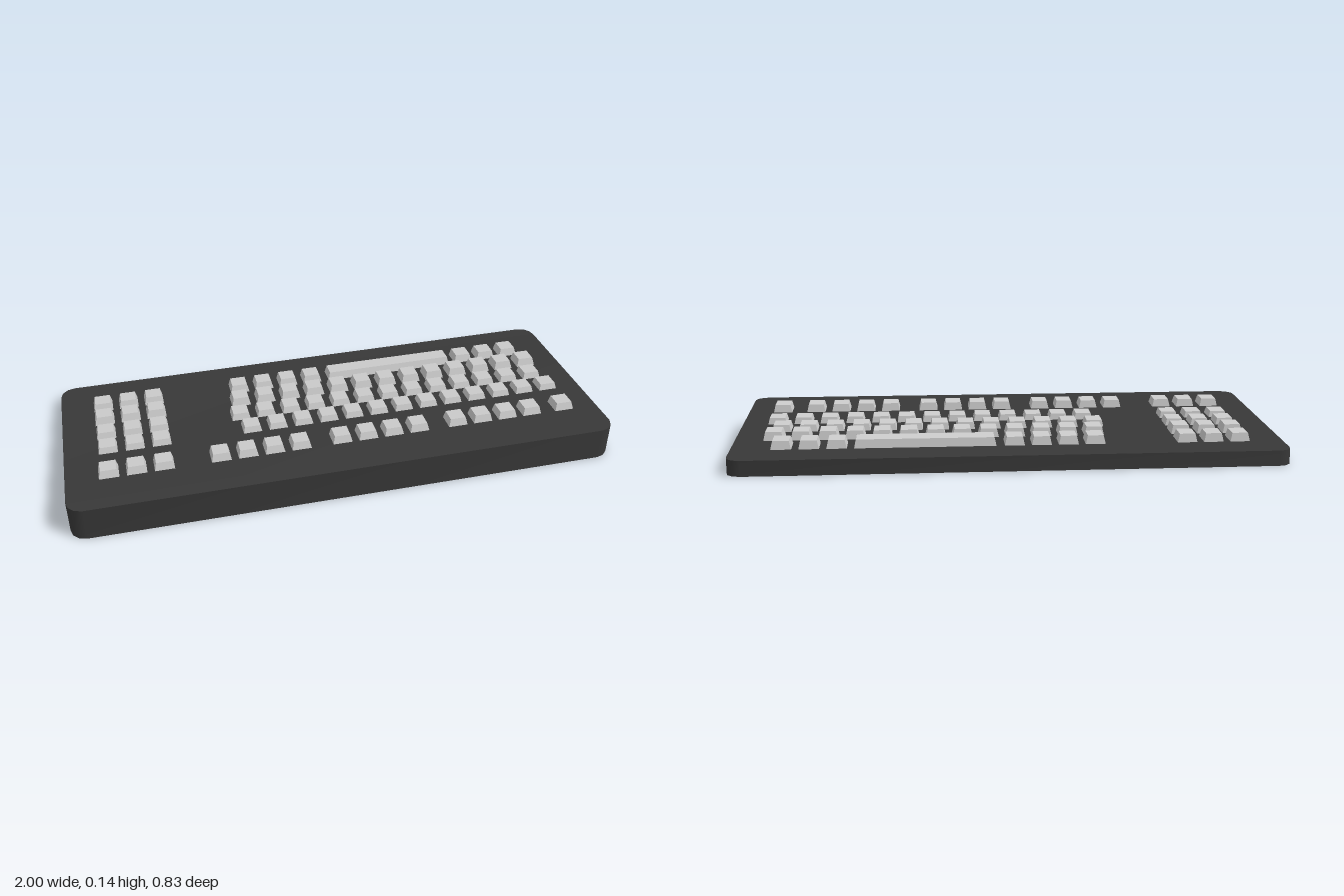
import * as THREE from 'three';
import { toCreasedNormals } from 'three/addons/utils/BufferGeometryUtils.js';

const TILT = -0.098;
const PITCH = 0.098;
const caseMaterial = new THREE.MeshStandardMaterial({ color: 0x383838 });
const keyMaterial = new THREE.MeshStandardMaterial({ color: 0xcccccc });

// Wedge-shaped case: slices along z with rounded corners and a sloping top
function makeCase() {
  const R = 0.055, HALF = 0.413, STEPS = 3;
  const slices = [];
  for (let i = 0; i <= STEPS; i++) {
    const a = (i / STEPS) * Math.PI / 2;
    slices.push({ z: HALF - R + R * Math.cos(a), w: 1 - R + R * Math.sin(a) });
  }
  for (let i = STEPS; i >= 0; i--) slices.push({ z: -slices[i].z, w: slices[i].w });

  const n = slices.length - 1;
  const geometry = new THREE.BoxGeometry(2, 1, 1, 1, 1, n);
  const p = geometry.attributes.position;
  for (let i = 0; i < p.count; i++) {
    const s = slices[Math.round((0.5 - p.getZ(i)) * n)];
    const slope = THREE.MathUtils.clamp((s.z + HALF - R) / (2 * (HALF - R)), 0, 1);
    const top = THREE.MathUtils.lerp(0.056, 0.127, slope);
    p.setXYZ(i, Math.sign(p.getX(i)) * s.w, p.getY(i) > 0 ? top : 0, s.z);
  }
  const mesh = new THREE.Mesh(toCreasedNormals(geometry, 0.7), caseMaterial);
  mesh.name = 'case';
  return mesh;
}

// Tapered keycap with its top face at the local origin
function keyGeometry(width) {
  const height = 0.036, flare = 0.0085;
  const geometry = new THREE.BoxGeometry(width, height, 0.061);
  geometry.translate(0, -height / 2, 0);
  const p = geometry.attributes.position;
  for (let i = 0; i < p.count; i++) {
    if (p.getY(i) > -height / 2) continue;
    p.setX(i, p.getX(i) + Math.sign(p.getX(i)) * flare);
    p.setZ(i, p.getZ(i) + Math.sign(p.getZ(i)) * flare);
  }
  return toCreasedNormals(geometry, 0.1);
}

export function createModel() {
  const model = new THREE.Group();
  model.name = 'keyboard';
  model.add(makeCase());

  const cap = keyGeometry(0.058);
  const bar = keyGeometry(0.494);

  // Each row: top height, depth, and runs of keys as [first x, count]
  const rows = [
    { name: 'functionRow', y: 0.1415, z: 0.209, runs: [[-0.846, 3], [-0.447, 4], [0, 4], [0.444, 4], [0.868, 1]] },
    { name: 'numberRow', y: 0.1205, z: 0.052, runs: [[-0.84, 3], [-0.306, 13]] },
    { name: 'upperLetterRow', y: 0.1125, z: -0.047, runs: [[-0.84, 3], [-0.333, 13]] },
    { name: 'lowerLetterRow', y: 0.1085, z: -0.15, runs: [[-0.84, 3], [-0.316, 13]] },
    { name: 'spaceRow', y: 0.0975, z: -0.251, runs: [[-0.84, 3], [-0.305, 4], [0.626, 3]] },
  ];

  for (const row of rows) {
    const group = new THREE.Group();
    group.name = row.name;
    group.position.set(0, row.y, row.z);
    group.rotation.x = TILT;
    for (const [start, count] of row.runs) {
      for (let i = 0; i < count; i++) {
        const key = new THREE.Mesh(cap, keyMaterial);
        key.name = 'key';
        key.position.x = start + i * PITCH;
        group.add(key);
      }
    }
    // Long space bar
    if (row.name === 'spaceRow') {
      const space = new THREE.Mesh(bar, keyMaterial);
      space.name = 'spaceBar';
      space.position.x = 0.31;
      group.add(space);
    }
    model.add(group);
  }
  return model;
}
